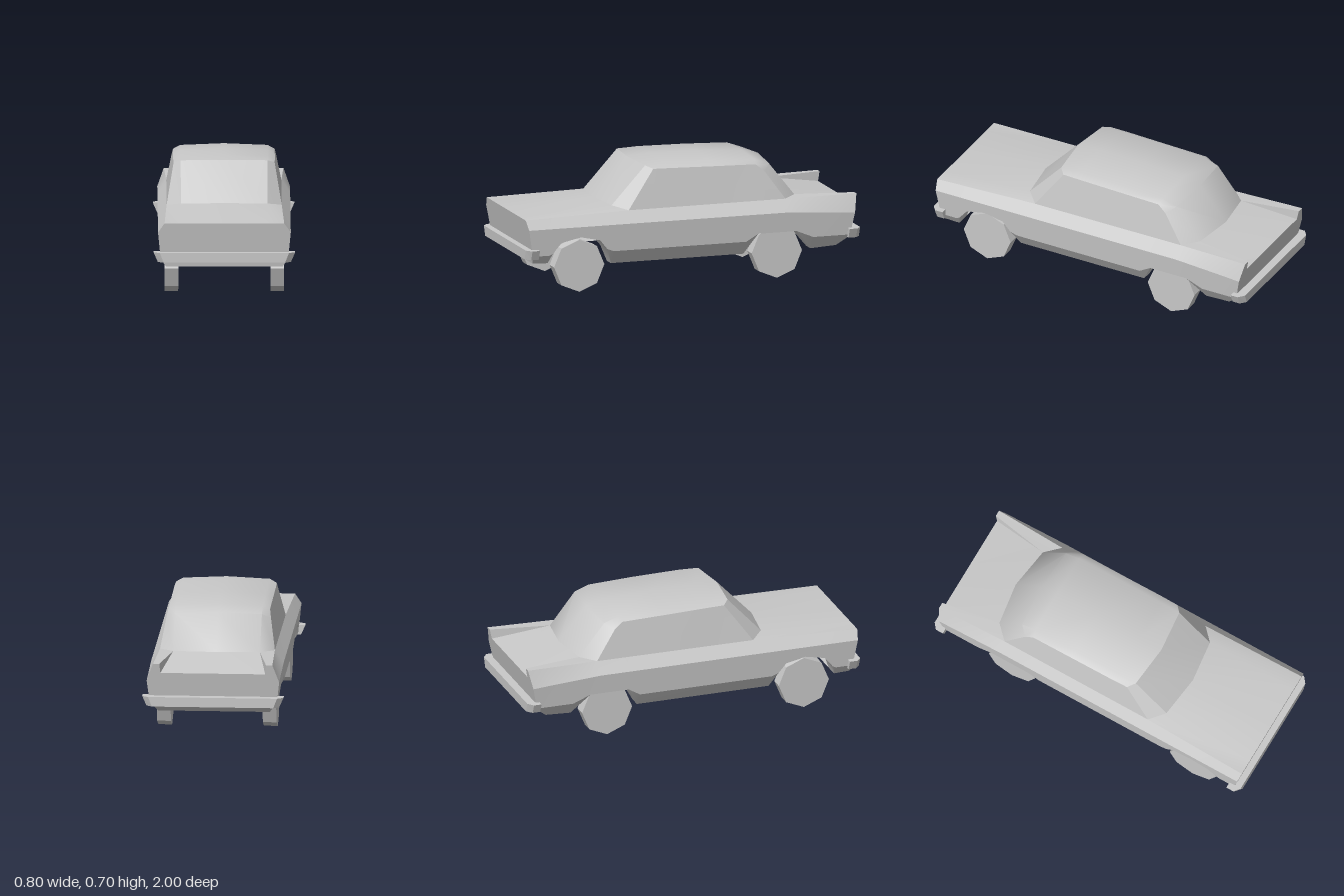
import * as THREE from 'three';
import { toCreasedNormals } from 'three/addons/utils/BufferGeometryUtils.js';

const paint = new THREE.MeshStandardMaterial({ color: 0xc8c8c8, side: THREE.DoubleSide });
paint.name = 'plain grey';

// Skin a grid of [x, y, z] points; the normal is (along a row) x (to the next row)
function loft(name, rows, crease = 0.5) {
  const pos = [];
  const tri = (...p) => {
    const [a, b, c] = p.map(q => new THREE.Vector3(...q));
    if (b.sub(a).cross(c.sub(a)).length() > 1e-7) pos.push(...p.flat());
  };
  for (let i = 0; i < rows.length - 1; i++) {
    for (let j = 0; j < rows[i].length - 1; j++) {
      const a = rows[i][j], b = rows[i + 1][j], c = rows[i + 1][j + 1], d = rows[i][j + 1];
      tri(a, d, b);
      tri(b, d, c);
    }
  }
  const geo = new THREE.BufferGeometry();
  geo.setAttribute('position', new THREE.Float32BufferAttribute(pos, 3));
  const mesh = new THREE.Mesh(toCreasedNormals(geo, crease), paint);
  mesh.name = name;
  return mesh;
}

// Mirror rows of points to the other side, keeping the outside out
const flip = ([x, y, z]) => [-x, y, z];
const sided = (rows, s) => (s > 0 ? rows : rows.map(r => r.map(flip).reverse()));
// Half row (edge, shoulder, centre) to a full row running from -x to +x
const full = half => [...half.map(flip), ...half.slice(0, -1).reverse()];

// Piecewise linear lookup; keys run downwards
function pick(table, t) {
  for (let i = 0; i < table.length - 1; i++) {
    const [t0, v0] = table[i], [t1, v1] = table[i + 1];
    if (t >= t1) return THREE.MathUtils.lerp(v0, v1, Math.min(1, (t - t0) / (t1 - t0)));
  }
  return table[table.length - 1][1];
}
const topY = z => pick([[0.99, 0.433], [0.37, 0.447], [-0.565, 0.45], [-0.985, 0.455]], z);
const topX = z => pick([[0.99, 0.338], [0.37, 0.325], [-0.565, 0.325], [-0.985, 0.338]], z);
const beltY = z => pick([[0.99, 0.38], [-0.565, 0.38], [-0.985, 0.353]], z);
const sideX = y => pick([[0.38, 0.375], [0.225, 0.36], [0.145, 0.305]], y);

// Body side stations: z, bottom edge height, lean of the end faces
const stations = [
  [0.99, 0.18, -0.17], [0.855, 0.175], [0.835, 0.235], [0.785, 0.295], [0.67, 0.32],
  [0.555, 0.295], [0.51, 0.24], [0.47, 0.145], [0.37, 0.145], [-0.32, 0.145],
  [-0.39, 0.267], [-0.565, 0.267], [-0.62, 0.267], [-0.72, 0.15], [-0.87, 0.16], [-0.985, 0.215, 0.2],
];
function column([z, bottom, lean = 0]) {
  const y0 = topY(z), belt = beltY(z), sill = Math.max(0.225, bottom);
  const at = (x, y) => [x, y, z + lean * (y0 - y)];
  return [at(topX(z), y0), at(0.375, belt), at(sideX(sill), sill), at(sideX(bottom), bottom)];
}
const columns = stations.map(column);
const bottomStrip = (list, inner) =>
  list.map(c => [c[3], [inner, c[3][1], c[3][2]]]);

// Bumper: a shallow U in plan, narrower along its lower edge
function bumper(name, dir) {
  const half = [[0.365, 0.998], [0.4, 0.97], [0.4, 0.925], [0.365, 0.925], [0.355, 0.95]];
  const outline = [...half, ...half.map(([x, z]) => [-x, z]).reverse()];
  const geo = new THREE.ExtrudeGeometry(
    new THREE.Shape(outline.map(p => new THREE.Vector2(...p))),
    { depth: 0.055, bevelEnabled: false });
  geo.rotateX(Math.PI / 2).translate(0, 0.265, 0);
  const p = geo.attributes.position;
  for (let i = 0; i < p.count; i++) if (p.getY(i) < 0.24) p.setX(i, p.getX(i) * 0.94);
  if (dir < 0) geo.rotateY(Math.PI);
  geo.computeVertexNormals();
  const mesh = new THREE.Mesh(geo, paint);
  mesh.name = name;
  return mesh;
}

export function createModel() {
  const car = new THREE.Group();
  car.name = 'car';

  // Hood, windshield, roof and rear window share these cross-sections
  const nose = [[0.338, 0.433, 0.99], [0.245, 0.433, 0.99], [0, 0.433, 0.99]];
  const cowl = [[0.325, 0.447, 0.37], [0.245, 0.465, 0.445], [0, 0.472, 0.476]];
  const roofRows = [
    [[0.285, 0.667, 0.21], [0.245, 0.682, 0.245], [0, 0.688, 0.27]],
    [[0.287, 0.665, 0.1], [0.245, 0.687, 0.12], [0, 0.699, 0.13]],
    [[0.287, 0.658, -0.15], [0.247, 0.682, -0.15], [0, 0.694, -0.15]],
    [[0.287, 0.652, -0.4], [0.247, 0.672, -0.41], [0, 0.682, -0.41]],
  ];
  const rearTop = [[0.295, 0.613, -0.45], [0.247, 0.642, -0.495], [0, 0.653, -0.515]];
  const rearBase = [[0.325, 0.45, -0.565], [0.245, 0.455, -0.645], [0, 0.46, -0.68]];
  car.add(loft('hood', [nose, cowl].map(full)));
  car.add(loft('windshield', [cowl, roofRows[0]].map(full)));
  car.add(loft('roofAndRearWindow', [...roofRows, rearTop, rearBase].map(full), 0.75));

  // Trunk deck, sunk between the two fins
  const deckY = 0.4, deckZ = -0.974;
  const deckEnd = [[0.297, deckY, deckZ], [0, deckY, deckZ]];
  car.add(loft('trunkDeck', [rearBase.slice(1), deckEnd].map(full)));

  for (const s of [1, -1]) {
    const side = s > 0 ? 'left' : 'right';
    const add = (name, rows, crease) => car.add(loft(side + name, sided(rows, s), crease));

    // Body side and cabin side
    add('BodySide', columns, 0.3);
    const edge = [cowl, ...roofRows, rearTop, rearBase].map(r => r[0]);
    add('CabinSide', edge.map(p => [p, [0.325, topY(p[2]), p[2]]]), 0.3);

    // Fin top and inner wall
    const finIn = [0.302, 0.455, -0.985], shoulder = rearBase[1];
    add('FinTop', [[shoulder, rearBase[0]], [finIn, columns[15][0]]]);
    add('FinWall', [[shoulder, shoulder], [deckEnd[0], finIn]]);
    add('FinEnd', [[deckEnd[0], finIn], [columns[15][1], columns[15][0]]]);

    // Wheel arch liners
    add('FrontArch', bottomStrip(columns.slice(1, 8), 0.235));
    add('RearArch', bottomStrip(columns.slice(9, 14), 0.235));

    // Eight-sided wheels, one corner on the ground
    for (const [end, z] of [['Front', 0.67], ['Rear', -0.51]]) {
      const geo = new THREE.CylinderGeometry(0.15, 0.15, 0.078, 8).rotateZ(Math.PI / 2);
      const wheel = new THREE.Mesh(toCreasedNormals(geo, 0.3), paint);
      wheel.name = side + end + 'Wheel';
      wheel.position.set(s * 0.299, 0.15, z);
      car.add(wheel);
    }
  }

  // Nose panel and tail panel close the ends
  car.add(loft('nosePanel', columns[0].map(p => [p, flip(p)]), 0.1));
  const tail = [deckEnd[0], ...columns[15].slice(1)];
  car.add(loft('tailPanel', tail.map(p => [flip(p), p]), 0.1));

  // Valances turned under the ends
  const across = list => list.map(c => [c[3], flip(c[3])]);
  car.add(loft('frontValance', across(columns.slice(0, 2))));
  car.add(loft('rearValance', across(columns.slice(14))));
  for (const s of [1, -1]) {
    car.add(loft('rearUnderside', sided(bottomStrip(columns.slice(13, 15), 0.235), s)));
  }

  car.add(bumper('frontBumper', 1), bumper('rearBumper', -1));
  return car;
}
